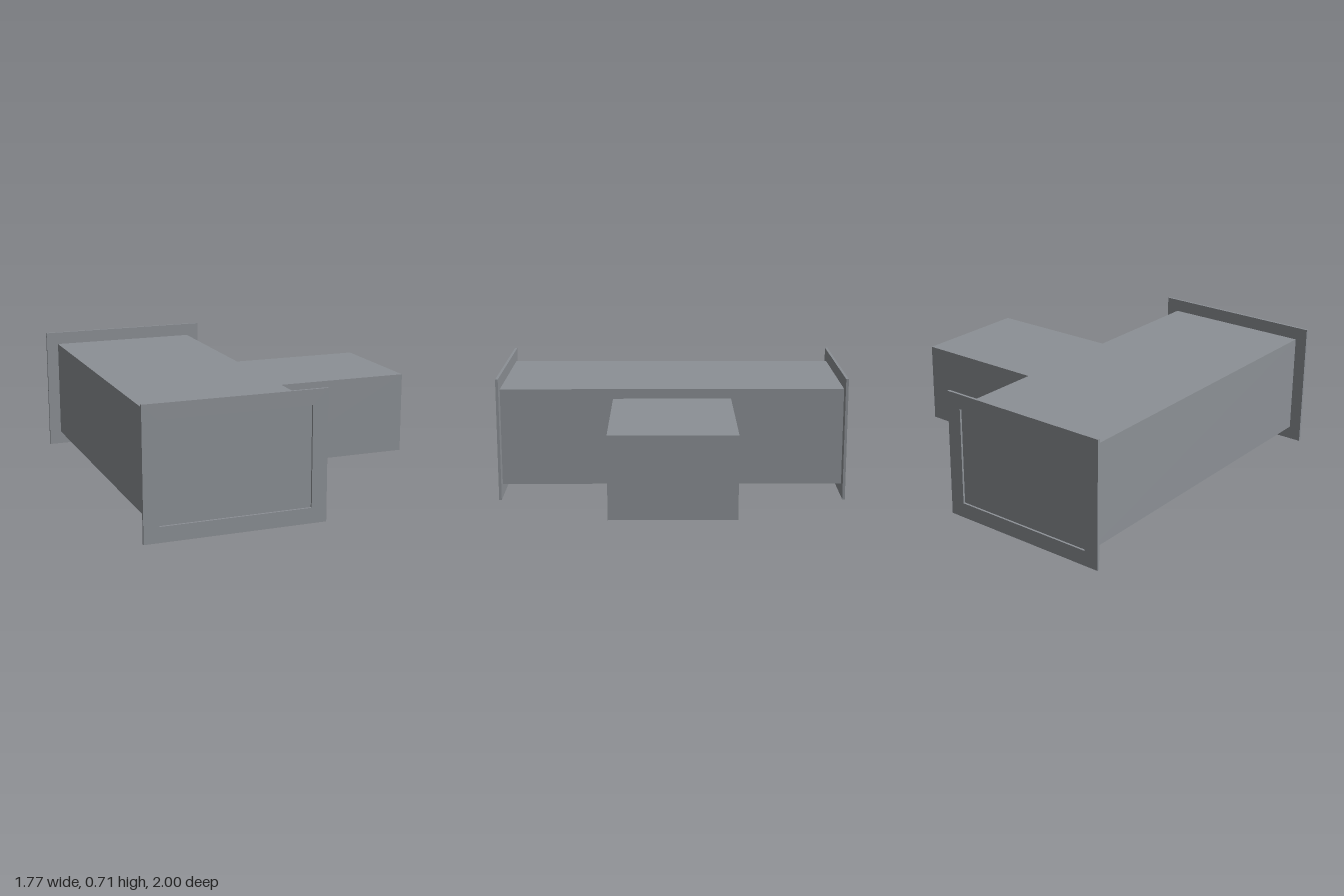
import * as THREE from 'three';

export function createModel() {
  const model = new THREE.Group();
  const metal = new THREE.MeshStandardMaterial({ color: 0x8c9095 });
  metal.name = 'galvanised grey';

  // Box given by its minimum and maximum corners
  const addBox = (name, [x0, y0, z0], [x1, y1, z1]) => {
    const mesh = new THREE.Mesh(new THREE.BoxGeometry(x1 - x0, y1 - y0, z1 - z0), metal);
    mesh.position.set((x0 + x1) / 2, (y0 + y1) / 2, (z0 + z1) / 2);
    mesh.name = name;
    model.add(mesh);
  };

  // Counter-clockwise rectangle outline
  const rectangle = (Type, x0, y0, x1, y1) =>
    new Type([[x0, y0], [x1, y0], [x1, y1], [x0, y1]].map(p => new THREE.Vector2(...p)));

  // Main duct, closed just behind each flange face, and side branch
  addBox('mainDuct', [-0.815, 0.075, -0.988], [0.032, 0.638, 0.988]);
  addBox('sideBranch', [0.032, 0.13, -0.338], [0.884, 0.582, 0.338]);

  // Flange frames around both duct ends
  const frame = rectangle(THREE.Shape, -0.884, 0, 0.104, 0.71);
  frame.holes.push(rectangle(THREE.Path, -0.802, 0.084, 0.02, 0.628));
  const flangeGeometry = new THREE.ExtrudeGeometry(frame, { depth: 0.015, bevelEnabled: false });
  for (const [name, z] of [['frontFlange', 0.985], ['backFlange', -1]]) {
    const flange = new THREE.Mesh(flangeGeometry, metal);
    flange.position.z = z;
    flange.name = name;
    model.add(flange);
  }

  return model;
}
